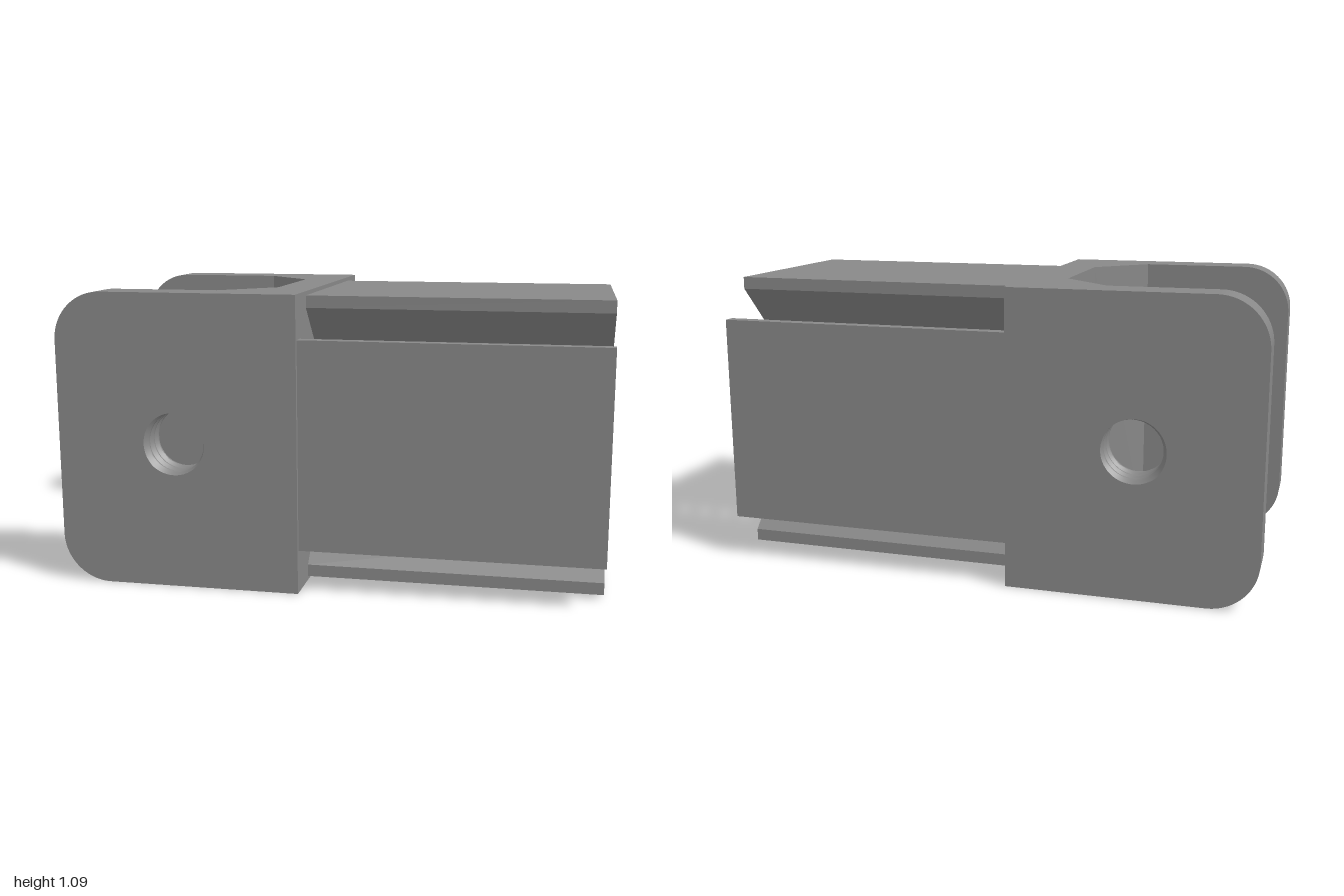
import * as THREE from 'three';
import { toCreasedNormals } from 'three/addons/utils/BufferGeometryUtils.js';

const MID = 0.545;               // half of the square section, and the axis height
const PLATE_X0 = -0.24, PLATE_X1 = -0.095;
const LUG_IN = 0.405;            // inner face of each lug
const LUG_T = MID - LUG_IN;
const HOLE_X = -0.55, MINOR = 0.108, MAJOR = 0.126;

const extrude = (shape, depth) =>
  new THREE.ExtrudeGeometry(shape, { depth, bevelEnabled: false, curveSegments: 24 });
const smooth = (geometry) => toCreasedNormals(geometry, 0.5);

const circlePath = (x, y, r) => {
  const path = new THREE.Path();
  path.absarc(x, y, r, 0, Math.PI * 2, true);
  return path;
};

// Side lug: plate with two rounded outer corners and a bore
function lugGeometry() {
  const r = 0.18;
  const s = new THREE.Shape();
  s.moveTo(PLATE_X0, -MID);
  s.lineTo(PLATE_X0, MID);
  s.lineTo(-1 + r, MID);
  s.absarc(-1 + r, MID - r, r, Math.PI / 2, Math.PI, false);
  s.lineTo(-1, -MID + r);
  s.absarc(-1 + r, -MID + r, r, Math.PI, Math.PI * 1.5, false);
  s.closePath();
  s.holes.push(circlePath(HOLE_X, 0, MAJOR));
  return smooth(extrude(s, LUG_T));
}

// Helical V-groove lining for the bore, closed by flush rings at both faces
function threadGeometry() {
  const around = 48, along = 48, turns = 3;
  const pos = [], index = [];
  for (let j = -1; j <= along + 1; j++) {
    const k = THREE.MathUtils.clamp(j / along, 0, 1);
    for (let i = 0; i <= around; i++) {
      const t = i / around;
      const phase = k * turns - t + 0.625;
      const away = Math.abs(phase - Math.round(phase));
      const groove = Math.max(0, 1 - away / 0.42);
      const r = j < 0 || j > along ? MAJOR + 0.002 : MINOR + (MAJOR - MINOR) * groove;
      const a = t * Math.PI * 2;
      pos.push(HOLE_X + r * Math.cos(a), r * Math.sin(a), k * LUG_T);
    }
  }
  const w = around + 1;
  for (let j = 0; j < along + 2; j++) {
    for (let i = 0; i < around; i++) {
      const a = j * w + i, b = a + 1, c = b + w, d = a + w;
      index.push(a, c, b, a, d, c);
    }
  }
  const g = new THREE.BufferGeometry();
  g.setAttribute('position', new THREE.Float32BufferAttribute(pos, 3));
  g.setIndex(index);
  return smooth(g);
}

// Cross plate with the axial bore
function plateGeometry() {
  const s = new THREE.Shape();
  s.moveTo(-MID, -MID);
  s.lineTo(MID, -MID);
  s.lineTo(MID, MID);
  s.lineTo(-MID, MID);
  s.closePath();
  s.holes.push(circlePath(0, 0, 0.1825));
  const g = extrude(s, PLATE_X1 - PLATE_X0);
  g.rotateY(Math.PI / 2);
  g.translate(PLATE_X0, 0, 0);
  return smooth(g);
}

// Triangular gusset between plate and lug
function gussetGeometry(side) {
  const s = new THREE.Shape();
  s.moveTo(PLATE_X0, -side * 0.22);
  s.lineTo(PLATE_X0, -side * LUG_IN);
  s.lineTo(-0.425, -side * LUG_IN);
  s.closePath();
  const g = extrude(s, MID * 2);
  g.rotateX(-Math.PI / 2);
  g.translate(0, -MID, 0);
  return g;
}

// Long jaw: trapezoid section with filleted inner corners
function jawGeometry() {
  const s = new THREE.Shape();
  s.moveTo(-0.385, 0.53);
  s.lineTo(-0.385, 0.485);
  s.lineTo(-0.25, 0.35);
  s.quadraticCurveTo(-0.2, 0.3, -0.14, 0.3);
  s.lineTo(0.14, 0.3);
  s.quadraticCurveTo(0.2, 0.3, 0.25, 0.35);
  s.lineTo(0.385, 0.485);
  s.lineTo(0.385, 0.53);
  s.closePath();
  const g = extrude(s, 1 - PLATE_X1);
  g.rotateY(Math.PI / 2);
  g.translate(PLATE_X1, 0, 0);
  return smooth(g);
}

export function createModel() {
  const metal = new THREE.MeshStandardMaterial({ color: 0x888888 });
  metal.name = 'greyMetal';

  const model = new THREE.Group();
  model.name = 'clevisConnector';
  const add = (name, geometry) => {
    const mesh = new THREE.Mesh(geometry, metal);
    mesh.name = name;
    mesh.position.y = MID;
    model.add(mesh);
    return mesh;
  };

  add('crossPlate', plateGeometry());

  // Fork: two lugs with threaded bores and gussets
  const lug = lugGeometry(), thread = threadGeometry();
  for (const [name, side, z] of [['front', 1, LUG_IN], ['back', -1, -MID]]) {
    add(name + 'Lug', lug).position.z = z;
    add(name + 'Thread', thread).position.z = z;
    add(name + 'Gusset', gussetGeometry(side));
  }

  // Four jaws around the x axis
  const jaw = jawGeometry();
  ['topJaw', 'frontJaw', 'bottomJaw', 'backJaw'].forEach((name, i) => {
    add(name, jaw).rotation.x = i * Math.PI / 2;
  });

  return model;
}
